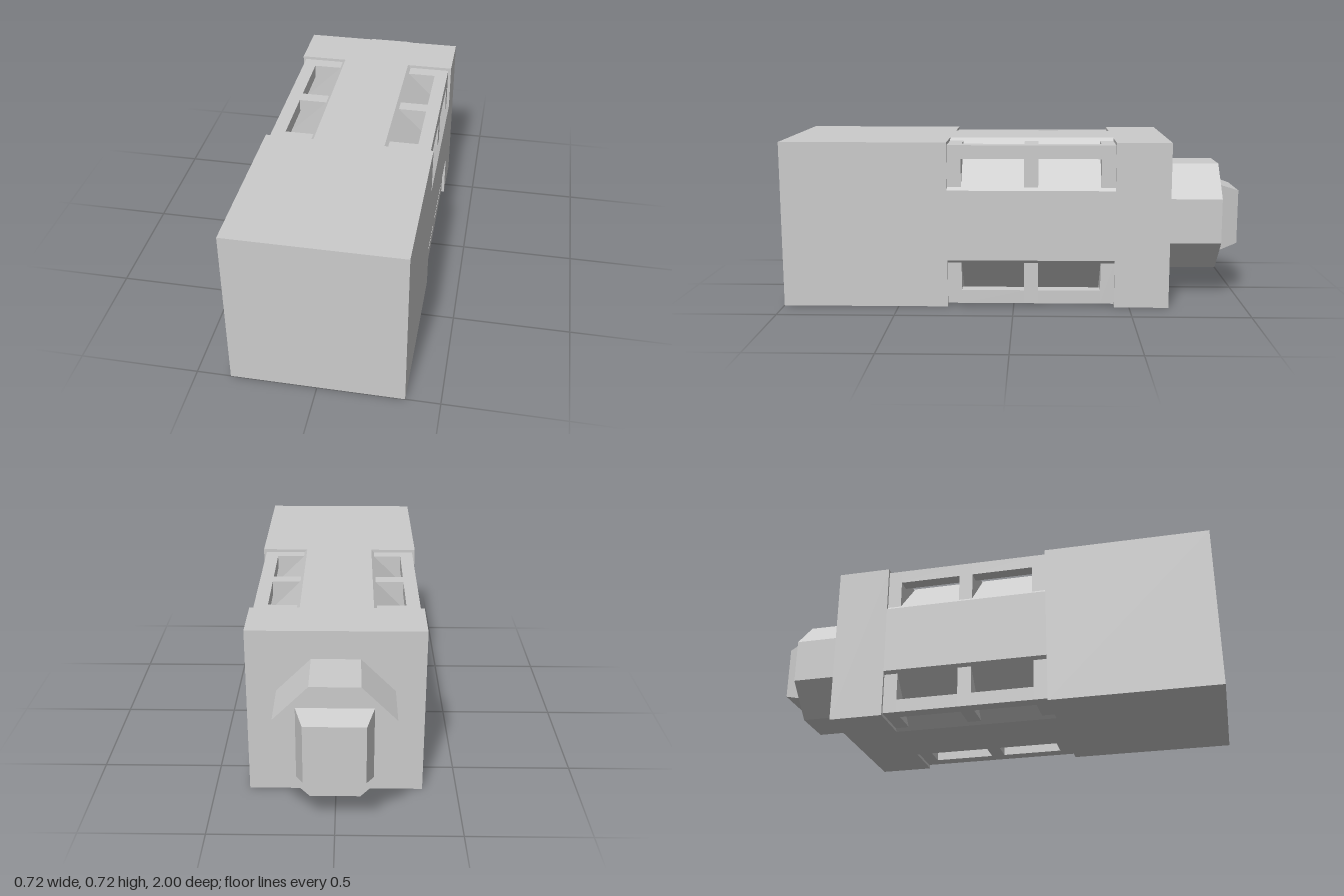
import * as THREE from 'three';

const H = 0.358;       // half width of the square body
const CUT = 0.206;     // chamfer leg along the long edges
const INSET = 0.013;   // how far the corner frames sit below the body faces
const BEAM = 0.071;    // depth of the corner beam's inner side

export function createModel() {
  const model = new THREE.Group();
  const material = new THREE.MeshStandardMaterial({ color: 0xcccccc, flatShading: true });

  const add = (name, geometry, parent = model) => {
    const mesh = new THREE.Mesh(geometry, material);
    mesh.name = name;
    parent.add(mesh);
    return mesh;
  };

  // Prism with an xy outline (centred on the body axis) from z0 to z1
  const prism = (points, z0, z1) => {
    const shape = new THREE.Shape(points.map(([x, y]) => new THREE.Vector2(x, y)));
    return new THREE.ExtrudeGeometry(shape, { depth: z1 - z0, bevelEnabled: false })
      .translate(0, H, z0);
  };

  // Body: two square blocks joined by a section with chamfered edges
  const square = [[-H, -H], [H, -H], [H, H], [-H, H]];
  const c = H - CUT;
  const chamfered = [[c, -H], [H, -c], [H, c], [c, H], [-c, H], [-H, c], [-H, -c], [-c, -H]];
  add('frontBlock', prism(square, 0.285, 1));
  add('chamferedSection', prism(chamfered, -0.435, 0.285));
  add('rearBlock', prism(square, -0.67, -0.435));

  // Window frames filling the four chamfered edges
  const outer = H - INSET, inner = H - BEAM, foot = 2 * H - CUT - outer;
  const ribs = [[-0.435, -0.375], [-0.105, -0.045], [0.225, 0.285]];
  for (const sx of [-1, 1]) for (const sy of [-1, 1]) {
    const frame = new THREE.Group();
    frame.name = `${sy > 0 ? 'upper' : 'lower'}${sx > 0 ? 'Left' : 'Right'}Frame`;
    model.add(frame);
    const place = pts => pts.map(([x, y]) => [x * sx, y * sy]);
    const rib = place([[foot, outer], [outer, foot], [outer, outer]]);
    const beam = place([[inner, inner], [outer, inner], [outer, outer], [inner, outer]]);
    ribs.forEach(([z0, z1], i) => {
      add('frameRib', prism(rib, z0, z1), frame);
      if (i > 0) add('cornerBeam', prism(beam, ribs[i - 1][1], z0), frame);
    });
  }

  // Octagonal collar with a tapered square tip at the back
  const octagon = Array.from({ length: 8 }, (_, i) => {
    const a = (i + 0.5) * Math.PI / 4, r = 0.238 / Math.cos(Math.PI / 8);
    return [r * Math.cos(a), r * Math.sin(a)];
  });
  add('rearCollar', prism(octagon, -0.91, -0.67));
  const tip = new THREE.CylinderGeometry(0.12 * Math.SQRT2, 0.15 * Math.SQRT2, 0.09, 4);
  tip.rotateY(Math.PI / 4).rotateX(-Math.PI / 2).translate(0, H, -0.955);
  add('rearTip', tip);

  return model;
}
